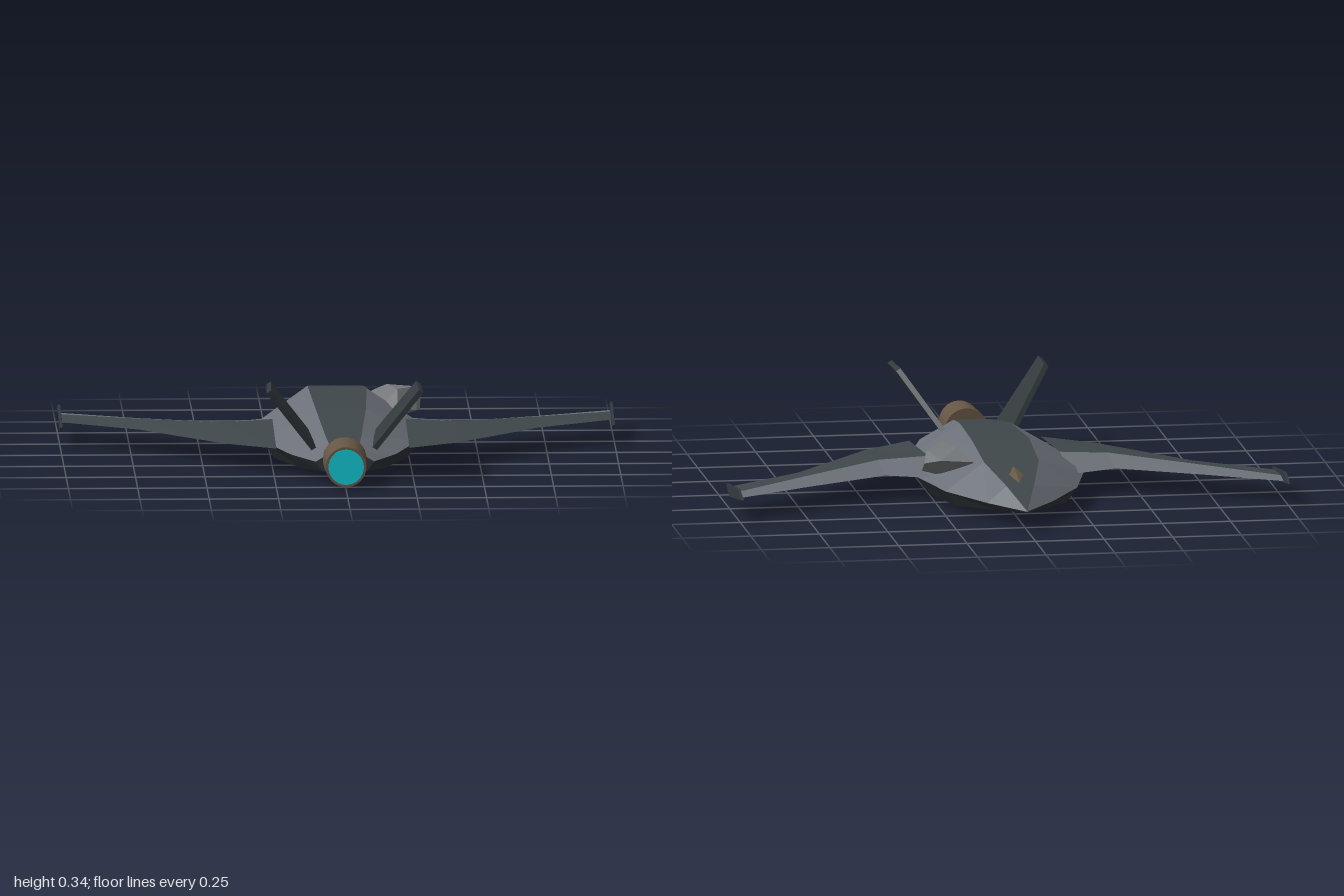
import * as THREE from 'three';
import { ConvexGeometry } from 'three/addons/geometries/ConvexGeometry.js';

const material = (name, color, flatShading = true) =>
  Object.assign(new THREE.MeshStandardMaterial({ color, flatShading }), { name });

export function createModel() {
  const group = new THREE.Group();
  const hull = material('hullGrey', 0x6b7078);
  const dark = material('darkPanel', 0x3f474a);
  const belly = material('bellyDark', 0x2e3336);
  const finMat = material('finDark', 0x333a3d);
  const rock = material('facetedGrey', 0x75787a);
  const brown = material('brownMetal', 0x665644, false);
  const glow = material('engineGlow', 0x10c4d0, false);

  const add = (name, geometry, mat) => {
    const mesh = new THREE.Mesh(geometry, mat);
    mesh.name = name;
    group.add(mesh);
    return mesh;
  };
  const V = (p) => new THREE.Vector3(...p);
  const mirrored = (p, s) => [p[0] * s, p[1], p[2]];

  // Flat-faced strip between two edges; s = -1 mirrors it across x
  const panel = (name, mat, edgeA, edgeB, s = 1) => {
    let a = edgeA.map((p) => mirrored(p, s));
    let b = edgeB.map((p) => mirrored(p, s));
    if (s < 0) [a, b] = [b, a];
    const pos = [];
    for (let i = 0; i < a.length - 1; i++) {
      pos.push(...a[i], ...b[i], ...b[i + 1], ...a[i], ...b[i + 1], ...a[i + 1]);
    }
    const g = new THREE.BufferGeometry();
    g.setAttribute('position', new THREE.Float32BufferAttribute(pos, 3));
    g.computeVertexNormals();
    add(name, g, mat);
  };

  // Fuselage stations: z, spine half width and y, side half width and y,
  // belly half width and y, keel y
  const stations = [
    [-0.81, 0, 0.073, 0, 0.07, 0, 0.068, 0.068],
    [-0.64, 0.05, 0.132, 0.12, 0.072, 0.09, 0.045, 0.037],
    [-0.43, 0.1, 0.18, 0.24, 0.076, 0.2, 0.022, 0.013],
    [-0.17, 0.105, 0.21, 0.305, 0.08, 0.26, 0.016, 0],
    [0.2, 0.09, 0.195, 0.28, 0.08, 0.24, 0.018, 0.003],
    [0.5, 0.065, 0.147, 0.19, 0.08, 0.15, 0.03, 0.02],
    [0.655, 0.045, 0.115, 0.105, 0.078, 0.08, 0.043, 0.035],
  ];
  const spine = stations.map((r) => [r[1], r[2], r[0]]);
  const side = stations.map((r) => [r[3], r[4], r[0]]);
  const chine = stations.map((r) => [r[5], r[6], r[0]]);
  const keel = stations.map((r) => [0, r[7], r[0]]);
  panel('spinePanel', dark, spine, spine.map((p) => mirrored(p, -1)));
  const end = [keel, chine, side, spine].map((e) => e[e.length - 1]);
  panel('tailCap', belly, end.map((p) => mirrored(p, -1)), end);

  // Wing sections: x, leading z, ridge z, trailing z, top y, bottom y
  const wing = [
    [0.24, -0.26, -0.02, 0.43, 0.125, 0.062],
    [0.42, -0.17, -0.015, 0.3, 0.115, 0.066],
    [0.72, -0.31, -0.2, -0.05, 0.1, 0.071],
    [0.99, -0.455, -0.38, -0.24, 0.088, 0.075],
  ];
  const mid = (r) => 0.55 * r[5] + 0.45 * r[4];
  const lead = wing.map((r) => [r[0], mid(r), r[1]]);
  const ridge = wing.map((r) => [r[0], r[4], r[2]]);
  const trail = wing.map((r) => [r[0], mid(r), r[3]]);
  const under = wing.map((r) => [r[0], r[5], r[2]]);

  for (const s of [1, -1]) {
    const label = s > 0 ? 'left' : 'right';
    panel(label + 'UpperHull', hull, side, spine, s);
    panel(label + 'LowerHull', belly, chine, side, s);
    panel(label + 'Belly', belly, keel, chine, s);

    panel(label + 'WingLeadingPanel', hull, lead, ridge, s);
    panel(label + 'WingTop', dark, ridge, trail, s);
    panel(label + 'WingUndersideRear', belly, trail, under, s);
    panel(label + 'WingUndersideFront', belly, under, lead, s);

    // Slanted plate on the wing tip
    const tip = [[-0.54, 0.088], [-0.45, 0.113], [-0.16, 0.075], [-0.25, 0.045]];
    add(label + 'WingTipPlate', new ConvexGeometry(tip.flatMap(([z, y]) =>
      [0.992, 1].map((x) => V([x * s, y, z])))), finMat);

    // Tail fin leaning outward
    const fin = [[0.125, 0.135, 0.335], [0.27, 0.34, 0.49], [0.275, 0.335, 0.665], [0.11, 0.115, 0.595]];
    add(label + 'TailFin', new ConvexGeometry(fin.flatMap(([x, y, z]) =>
      [-1, 1].map((k) => V([(x + k * 0.008) * s, y - k * 0.005, z])))), finMat);
  }

  // Engine nozzle and its glowing end
  const nozzle = add('engineNozzle', new THREE.CylinderGeometry(0.073, 0.08, 0.18, 32), brown);
  nozzle.rotation.x = Math.PI / 2;
  nozzle.position.set(0, 0.082, 0.715);
  const disc = add('engineGlow', new THREE.CylinderGeometry(0.064, 0.064, 0.006, 32), glow);
  disc.rotation.x = Math.PI / 2;
  disc.position.set(0, 0.082, 0.806);

  // Faceted pod on the left shoulder
  const pod = [
    [0.13, 0.17, -0.38], [0.25, 0.18, -0.385], [0.305, 0.165, -0.35], [0.115, 0.14, -0.33],
    [0.18, 0.207, -0.29], [0.285, 0.2, -0.28], [0.215, 0.208, -0.17], [0.215, 0.15, -0.09],
    [0.14, 0.13, -0.17], [0.285, 0.13, -0.17], [0.3, 0.12, -0.26], [0.2, 0.09, -0.24],
  ];
  add('shoulderPod', new ConvexGeometry(pod.map(V)), rock);

  // Small diamond sensor on the nose
  const sensor = add('noseSensor', new THREE.OctahedronGeometry(1).scale(0.026, 0.008, 0.075), brown);
  sensor.position.set(0, 0.154, -0.545);
  sensor.rotation.x = -Math.atan(0.229);

  return group;
}
